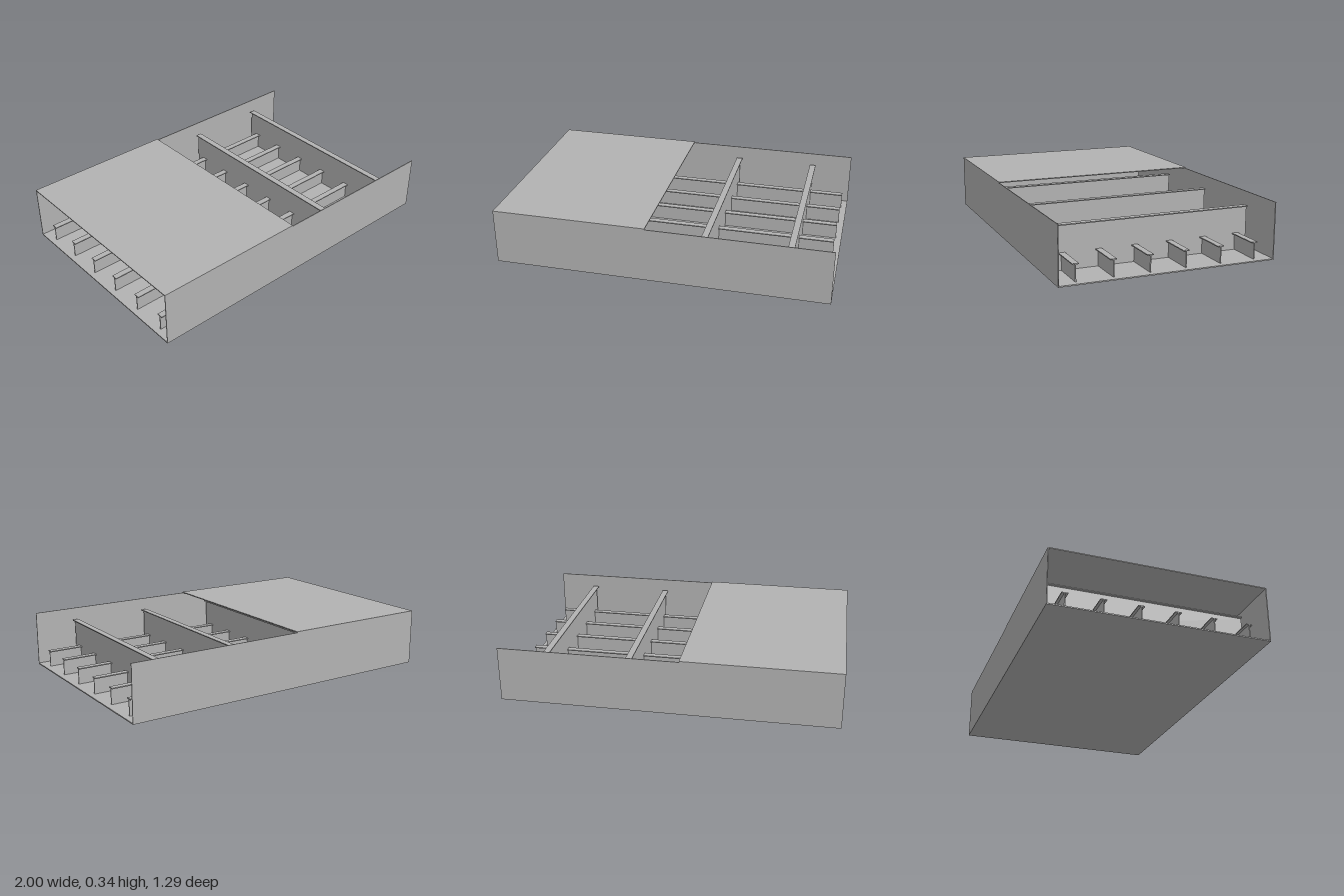
import * as THREE from 'three';

export function createModel() {
  const model = new THREE.Group();
  const steel = new THREE.MeshStandardMaterial({ color: 0xb2b2b2 });
  steel.name = 'grey steel';

  // Box given by its minimum and maximum on each axis
  function plate(name, parent, [x0, x1], [y0, y1], [z0, z1]) {
    const geometry = new THREE.BoxGeometry(x1 - x0, y1 - y0, z1 - z0);
    const mesh = new THREE.Mesh(geometry, steel);
    mesh.position.set((x0 + x1) / 2, (y0 + y1) / 2, (z0 + z1) / 2);
    mesh.name = name;
    parent.add(mesh);
  }

  const t = 0.007;            // plate thickness
  const halfWidth = 0.643;
  const wallTop = 0.334;

  // Outer shell, with the cover cut short to expose the framing
  plate('bottomPlate', model, [-1, 1], [0, t], [-halfWidth, halfWidth]);
  plate('leftCoverPlate', model, [-1, -0.075], [wallTop, wallTop + 0.006], [-halfWidth, halfWidth]);
  plate('frontWall', model, [-1, 1], [t, wallTop], [halfWidth - 0.005, halfWidth]);
  plate('backWall', model, [-1, 1], [t, wallTop], [-halfWidth, -halfWidth + 0.005]);

  // T-section beam along x, centred on the origin in plan
  function teeBeam(name, length, top, web, flange) {
    const beam = new THREE.Group();
    beam.name = name;
    const span = [-length / 2, length / 2];
    plate('web', beam, span, [t, top - 0.006], [-web / 2, web / 2]);
    plate('flange', beam, span, [top - 0.006, top], [-flange / 2, flange / 2]);
    model.add(beam);
    return beam;
  }

  // Six low stiffeners running lengthways
  for (let i = 0; i < 6; i++) {
    teeBeam('stiffener', 1.93, 0.107, 0.006, 0.037).position.z = (i - 2.5) * 0.214;
  }

  // Four tall cross girders
  for (let i = 0; i < 4; i++) {
    const girder = teeBeam('crossGirder', 1.212, 0.266, 0.006, 0.038);
    girder.rotation.y = Math.PI / 2;
    girder.position.x = (i - 1.5) * 0.5;
  }

  return model;
}
